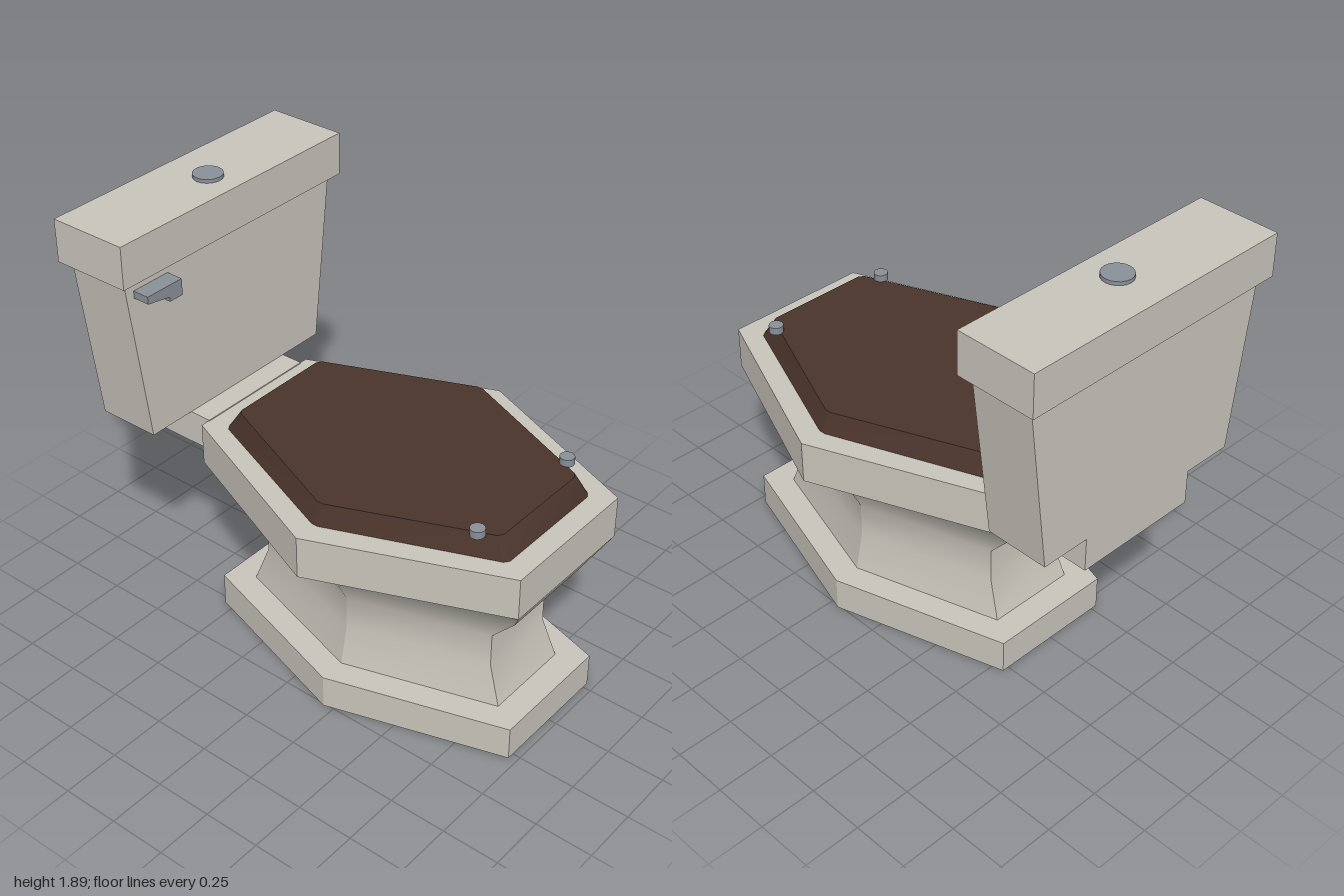
import * as THREE from 'three';
import { toCreasedNormals } from 'three/addons/utils/BufferGeometryUtils.js';

const mat = (color) => new THREE.MeshStandardMaterial({ color });
const MID_Z = 0.205; // widest line of the bowl

// Hexagonal ring [x, y, z], counter-clockwise seen from above
function hexRing(y, xMid, xEnd, zFront, zBack) {
  return [
    [xEnd, y, zFront], [xMid, y, MID_Z], [xEnd, y, zBack],
    [-xEnd, y, zBack], [-xMid, y, MID_Z], [-xEnd, y, zFront],
  ];
}

// Rectangular ring, same winding
function rectRing(y, x, zFront, zBack) {
  return [[x, y, zFront], [x, y, zBack], [-x, y, zBack], [-x, y, zFront]];
}

// Cut every corner of a ring by a small distance
function chamfer(ring, d) {
  const out = [];
  ring.forEach((p, i) => {
    const v = new THREE.Vector3(...p);
    for (const j of [i + ring.length - 1, i + 1]) {
      const n = new THREE.Vector3(...ring[j % ring.length]);
      out.push(n.sub(v).setLength(d).add(v).toArray());
    }
  });
  return out;
}

// Closed solid through a stack of rings, bottom to top
function loft(rings) {
  const pos = [];
  const tri = (a, b, c) => pos.push(...a, ...b, ...c);
  const n = rings[0].length;
  for (let r = 0; r < rings.length - 1; r++) {
    const lo = rings[r], hi = rings[r + 1];
    for (let i = 0; i < n; i++) {
      const j = (i + 1) % n;
      tri(lo[i], lo[j], hi[j]);
      tri(lo[i], hi[j], hi[i]);
    }
  }
  const bottom = rings[0], top = rings[rings.length - 1];
  for (let i = 1; i < n - 1; i++) {
    tri(top[0], top[i], top[i + 1]);
    tri(bottom[0], bottom[i + 1], bottom[i]);
  }
  const geo = new THREE.BufferGeometry();
  geo.setAttribute('position', new THREE.Float32BufferAttribute(pos, 3));
  return toCreasedNormals(geo, THREE.MathUtils.degToRad(30));
}

export function createModel() {
  const model = new THREE.Group();
  model.name = 'toilet';
  const porcelain = mat(0xc8c5bb);
  const wood = mat(0x4a342b);
  const metal = mat(0x8a9099);

  const add = (name, geo, material, x = 0, y = 0, z = 0) => {
    const mesh = new THREE.Mesh(geo, material);
    mesh.name = name;
    mesh.position.set(x, y, z);
    model.add(mesh);
    return mesh;
  };

  // Foot, pedestal and bowl rim
  add('base', loft([0, 0.15].map((y) => hexRing(y, 0.51, 0.28, 0.965, -0.55))), porcelain);
  add('pedestal', loft([
    hexRing(0.15, 0.395, 0.2, 0.85, -0.435),
    hexRing(0.32, 0.36, 0.18, 0.79, -0.375),
    hexRing(0.47, 0.36, 0.18, 0.79, -0.375),
    hexRing(0.615, 0.435, 0.215, 0.915, -0.5),
    hexRing(0.76, 0.65, 0.325, 1, -0.585),
  ]), porcelain);
  add('rim', loft([0.76, 0.945].map((y) => hexRing(y, 0.65, 0.325, 1, -0.585))), porcelain);

  // Seat lid with sloping edge and trimmed corners
  add('seatLid', loft([
    chamfer(hexRing(0.945, 0.55, 0.272, 0.905, -0.495), 0.016),
    chamfer(hexRing(1.03, 0.515, 0.247, 0.855, -0.445), 0.016),
  ]), wood);

  // Small studs on the lid corners
  for (const side of [-1, 1]) {
    add(side < 0 ? 'rightStud' : 'leftStud',
      new THREE.CylinderGeometry(0.031, 0.031, 0.033, 12), metal, side * 0.293, 1.044, 0.778);
  }

  // Shelf joining bowl and tank
  add('tankShelf', loft([0.8, 0.95].map((y) => rectRing(y, 0.285, -0.58, -0.96))), porcelain);

  // Tank, tank lid and flush button
  add('tank', loft([
    rectRing(0.95, 0.505, -0.68, -0.96),
    rectRing(1.69, 0.598, -0.68, -0.96),
  ]), porcelain);
  add('tankLid', new THREE.BoxGeometry(1.265, 0.185, 0.356), porcelain, 0, 1.7825, -0.822);
  add('flushButton', new THREE.CylinderGeometry(0.063, 0.063, 0.02, 20), metal, 0, 1.881, -0.793);

  // Flush lever
  const lever = new THREE.Shape([
    [-0.55, 1.64], [-0.55, 1.608], [-0.435, 1.588], [-0.435, 1.568], [-0.365, 1.568], [-0.365, 1.64],
  ].map(([x, y]) => new THREE.Vector2(x, y)));
  add('flushLever', new THREE.ExtrudeGeometry(lever, { depth: 0.08, bevelEnabled: false }),
    metal, 0, 0, -0.685);

  return model;
}
